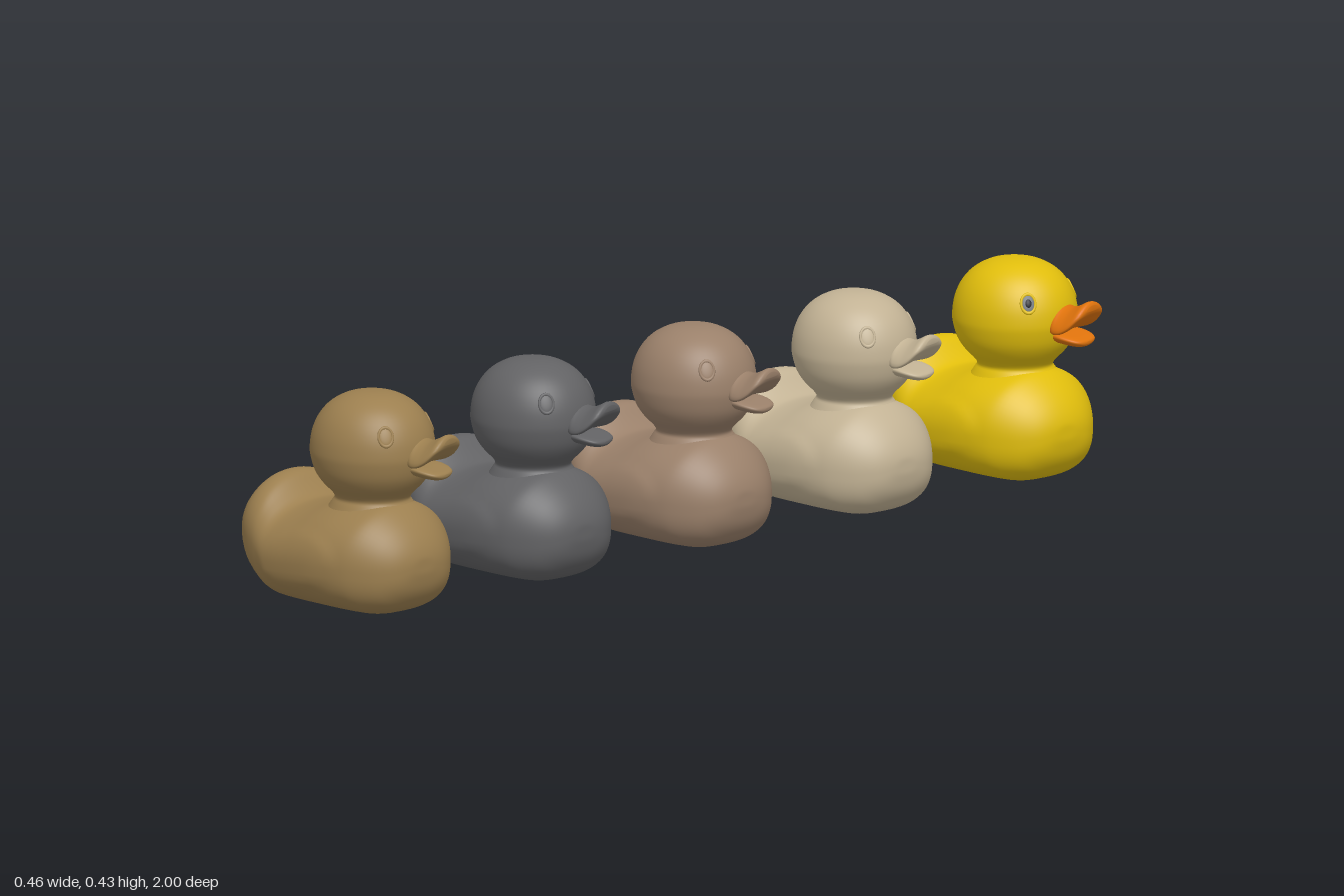
import * as THREE from 'three';

const paint = (name, color) => {
  const m = new THREE.MeshStandardMaterial({ color });
  m.name = name;
  return m;
};

// Smooth closed skin along x. Rows: [x, bottom, top, half width].
function loft(rows, { sides = 48, steps = 4, lowPower = 2, highPower = 2, deform } = {}) {
  const n = (rows.length - 1) * steps;
  const xw = new THREE.SplineCurve(rows.map(r => new THREE.Vector2(r[0], r[3])));
  const yy = new THREE.SplineCurve(rows.map(r => new THREE.Vector2(r[1], r[2])));
  const pos = [], index = [];
  const p = new THREE.Vector3();
  const bend = (v, e) => Math.sign(v) * Math.pow(Math.abs(v), 2 / e);
  // first and last rings collapse to a point to close the ends
  for (let i = -1; i <= n + 1; i++) {
    const u = THREE.MathUtils.clamp(i / n, 0, 1);
    const k = i < 0 || i > n ? 0 : 1;
    const a = xw.getPoint(u), b = yy.getPoint(u);
    const mid = b.x + (b.y - b.x) * 0.47;
    for (let j = 0; j < sides; j++) {
      const t = j / sides * Math.PI * 2;
      const c = Math.cos(t), s = Math.sin(t);
      const e = c < 0 ? lowPower : highPower;
      const h = c < 0 ? mid - b.x : b.y - mid;
      p.set(a.x, mid + k * h * bend(c, e), k * Math.max(0, a.y) * bend(s, e));
      if (deform) deform(p);
      pos.push(p.x, p.y, p.z);
    }
  }
  for (let i = 0; i < n + 2; i++) {
    for (let j = 0; j < sides; j++) {
      const a = i * sides + j, d = i * sides + (j + 1) % sides;
      index.push(a, d, d + sides, a, d + sides, a + sides);
    }
  }
  const g = new THREE.BufferGeometry();
  g.setAttribute('position', new THREE.Float32BufferAttribute(pos, 3));
  g.setIndex(index);
  g.computeVertexNormals();
  return g;
}

// Body with upturned tail and softly raised wings
const bodyGeometry = () => loft([
  [-0.231, 0.115, 0.135, 0.03], [-0.228, 0.095, 0.165, 0.07], [-0.222, 0.08, 0.19, 0.09],
  [-0.21, 0.058, 0.213, 0.108], [-0.19, 0.034, 0.232, 0.123], [-0.17, 0.02, 0.236, 0.133],
  [-0.15, 0.01, 0.23, 0.14], [-0.13, 0.004, 0.211, 0.146], [-0.11, 0.001, 0.195, 0.15],
  [-0.09, 0, 0.191, 0.153], [-0.05, 0, 0.197, 0.156], [0, 0, 0.21, 0.157],
  [0.05, 0, 0.218, 0.154], [0.1, 0, 0.219, 0.142], [0.13, 0.003, 0.213, 0.128],
  [0.16, 0.016, 0.19, 0.105], [0.18, 0.036, 0.167, 0.082], [0.193, 0.058, 0.145, 0.058],
  [0.2, 0.085, 0.125, 0.03], [0.201, 0.1, 0.112, 0.005],
], {
  sides: 64, lowPower: 2.7, highPower: 2.1,
  deform: p => {
    p.y = Math.max(0, p.y);
    const r = Math.hypot((p.x + 0.015) / 0.11, (p.y - 0.105 - p.x * 0.1) / 0.06);
    p.z += Math.sign(p.z) * 0.004 * (1 - THREE.MathUtils.smoothstep(r, 0.8, 1.1));
  },
});

// Round head running down into the neck
function headGeometry() {
  const profile = [
    [0.094, 0.19], [0.081, 0.21], [0.075, 0.22], [0.082, 0.232], [0.1, 0.25], [0.115, 0.273],
    [0.123, 0.3], [0.1245, 0.32], [0.12, 0.35], [0.107, 0.38], [0.085, 0.405], [0.055, 0.422],
    [0.025, 0.429], [0, 0.43],
  ].map(q => new THREE.Vector2(...q));
  const points = new THREE.SplineCurve(profile).getPoints(44);
  points.forEach(q => { q.x = Math.max(0, q.x); });
  return new THREE.LatheGeometry(points, 56).scale(1, 1, 0.945);
}

// Upper bill droops at the sides and flares up at the tip
const upperBillGeometry = () => loft([
  [0.09, 0.29, 0.355, 0.03], [0.112, 0.298, 0.352, 0.05], [0.125, 0.302, 0.348, 0.055],
  [0.14, 0.308, 0.349, 0.056], [0.155, 0.318, 0.355, 0.054], [0.168, 0.33, 0.362, 0.048],
  [0.176, 0.338, 0.362, 0.038], [0.18, 0.346, 0.356, 0.02],
], { sides: 32, deform: p => { p.y -= 6 * p.z * p.z; } });

// Lower bill is a shallow scoop
const lowerBillGeometry = () => loft([
  [0.09, 0.275, 0.302, 0.03], [0.12, 0.273, 0.299, 0.043], [0.145, 0.271, 0.294, 0.042],
  [0.16, 0.272, 0.29, 0.035], [0.168, 0.275, 0.287, 0.024], [0.171, 0.279, 0.284, 0.008],
], { sides: 32, deform: p => { p.y += 4 * p.z * p.z; } });

export function createModel() {
  const brown = paint('brown', 0x9c7f4f);
  const charcoal = paint('charcoal', 0x626264);
  const taupe = paint('taupe', 0x9a806a);
  const beige = paint('beige', 0xc2b294);
  const yellow = paint('yellow', 0xe0bd0c);
  const orange = paint('orange', 0xe0730c);
  const eyeGrey = paint('eye grey', 0x70767c);
  const pupilDark = paint('pupil dark', 0x22252c);

  const geo = {
    body: bodyGeometry(),
    head: headGeometry(),
    upperBill: upperBillGeometry(),
    lowerBill: lowerBillGeometry(),
    ring: new THREE.TorusGeometry(0.0155, 0.003, 10, 28).scale(0.9, 1.2, 1),
    eye: new THREE.SphereGeometry(0.0155, 20, 12).scale(0.9, 1.2, 0.22),
    pupil: new THREE.SphereGeometry(0.008, 16, 10).scale(0.9, 1.2, 0.4),
  };

  const add = (parent, name, geometry, material) => {
    const mesh = new THREE.Mesh(geometry, material);
    mesh.name = name;
    parent.add(mesh);
    return mesh;
  };

  function duck(skin, bill, iris, pupil) {
    const group = new THREE.Group();
    group.name = 'duck';
    add(group, 'body', geo.body, skin);

    // Head turned a little to one side
    const head = new THREE.Group();
    head.name = 'headGroup';
    head.position.x = 0.05;
    head.rotation.y = 0.27;
    add(head, 'head', geo.head, skin);
    add(head, 'upperBill', geo.upperBill, bill);
    add(head, 'lowerBill', geo.lowerBill, bill);

    // Eyes with raised rims
    for (const side of [-1, 1]) {
      const a = 0.8;
      const eye = new THREE.Group();
      eye.name = side > 0 ? 'rightEye' : 'leftEye';
      eye.position.set(0.1145 * Math.cos(a), 0.362, side * 0.1085 * Math.sin(a));
      const normal = new THREE.Vector3(Math.cos(a), 0.42, side * Math.sin(a));
      eye.lookAt(normal.add(eye.position));
      add(eye, 'eyeRim', geo.ring, skin);
      add(eye, 'eyeball', geo.eye, iris);
      if (pupil) add(eye, 'pupil', geo.pupil, pupil).position.z = 0.0015;
      head.add(eye);
    }
    group.add(head);
    return group;
  }

  // Row of five, the last one fully painted
  const model = new THREE.Group();
  model.name = 'duckRow';
  [brown, charcoal, taupe, beige, yellow].forEach((skin, i) => {
    const painted = skin === yellow;
    const d = duck(skin, painted ? orange : skin, painted ? eyeGrey : skin, painted ? pupilDark : null);
    d.position.z = 0.84 - i * 0.42;
    model.add(d);
  });
  return model;
}
